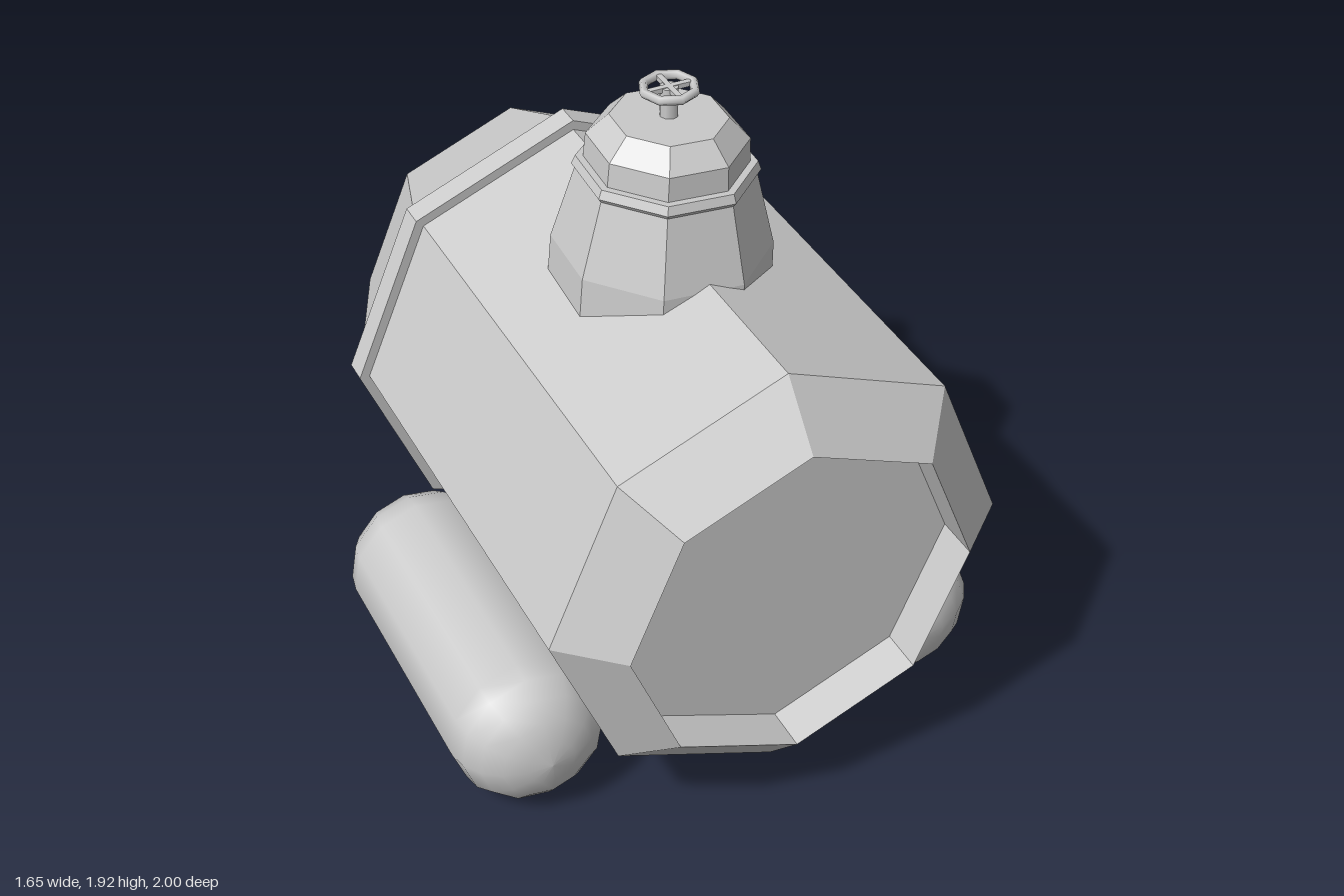
import * as THREE from 'three';

const flat = new THREE.MeshStandardMaterial({ color: 0xcccccc, flatShading: true });
const smooth = new THREE.MeshStandardMaterial({ color: 0xcccccc });

// Lathe from [radius, height] pairs, listed bottom to top on the outside
function lathe(profile, sides, start = 0) {
  return new THREE.LatheGeometry(profile.map(([r, h]) => new THREE.Vector2(r, h)), sides, start);
}

function add(parent, name, geometry, material = flat) {
  const mesh = new THREE.Mesh(geometry, material);
  mesh.name = name;
  parent.add(mesh);
  return mesh;
}

function createHull() {
  const hull = new THREE.Group();
  hull.name = 'hull';
  // Lathe height runs along z: tail at the back, window recess at the front
  const along = (profile, sides = 8) => lathe(profile, sides).rotateX(Math.PI / 2);
  add(hull, 'hullShell', along([
    [0.495, -0.915], [0.675, -0.52], [0.675, 0.855], [0.51, 1], [0.51, 0.87],
  ]));
  add(hull, 'frontWindow', along([[0.51, 0.87], [0, 0.87]]));
  add(hull, 'hullFlange', along([
    [0.6, -0.52], [0.705, -0.52], [0.705, -0.445], [0.6, -0.445],
  ]));
  add(hull, 'tailRim', along([[0.375, -1], [0.495, -0.915]]), smooth);
  add(hull, 'tailPlate', along([[0, -1], [0.375, -1]]));
  hull.position.set(0.03, 0.785, 0);
  return hull;
}

function createTower() {
  const tower = new THREE.Group();
  tower.name = 'tower';
  const start = Math.PI / 8 - 0.05;
  // Heights are measured from the tower's pivot at y = 1.3
  add(tower, 'towerBase', lathe([[0.31, 0], [0.305, 0.14], [0.245, 0.36]], 8, start));
  add(tower, 'towerFlange', lathe([
    [0.2, 0.35], [0.24, 0.35], [0.255, 0.37], [0.245, 0.395], [0.2, 0.395],
  ], 8, start));
  add(tower, 'towerHatch', lathe([
    [0.225, 0.38], [0.22, 0.465], [0.16, 0.525], [0, 0.525],
  ], 8, start));
  tower.position.set(0.02, 1.3, 0.145);
  tower.rotation.z = -0.045;
  return tower;
}

function createHandwheel() {
  const wheel = new THREE.Group();
  wheel.name = 'handwheel';
  add(wheel, 'wheelStem', new THREE.CylinderGeometry(0.026, 0.026, 0.11, 8), smooth)
    .position.y = -0.05;
  add(wheel, 'wheelRim', new THREE.TorusGeometry(0.072, 0.013, 6, 8).rotateX(Math.PI / 2), smooth);
  for (const angle of [0, Math.PI / 2]) {
    add(wheel, 'wheelSpoke', new THREE.BoxGeometry(0.14, 0.014, 0.016)).rotation.y = angle;
  }
  wheel.position.set(0.045, 1.907, 0.14);
  return wheel;
}

// Side float: a straight tube with slightly flattened round ends
function createFloat(side) {
  const radius = 0.23, half = 0.375, dome = 0.19, steps = 5;
  const profile = [];
  for (const end of [-1, 1]) {
    for (let i = 0; i <= steps; i++) {
      const a = (end < 0 ? steps - i : i) / steps * Math.PI / 2;
      profile.push([radius * Math.cos(a), end * (half + dome * Math.sin(a))]);
    }
  }
  const group = new THREE.Group();
  add(group, 'floatTank', lathe(profile, 12, 0.1).rotateX(Math.PI / 2), smooth);
  group.name = side > 0 ? 'leftFloat' : 'rightFloat';
  group.position.set(side * 0.594, 0.232, 0.18);
  return group;
}

export function createModel() {
  const model = new THREE.Group();
  model.name = 'submarine';
  model.add(createHull(), createTower(), createHandwheel(), createFloat(1), createFloat(-1));
  return model;
}
